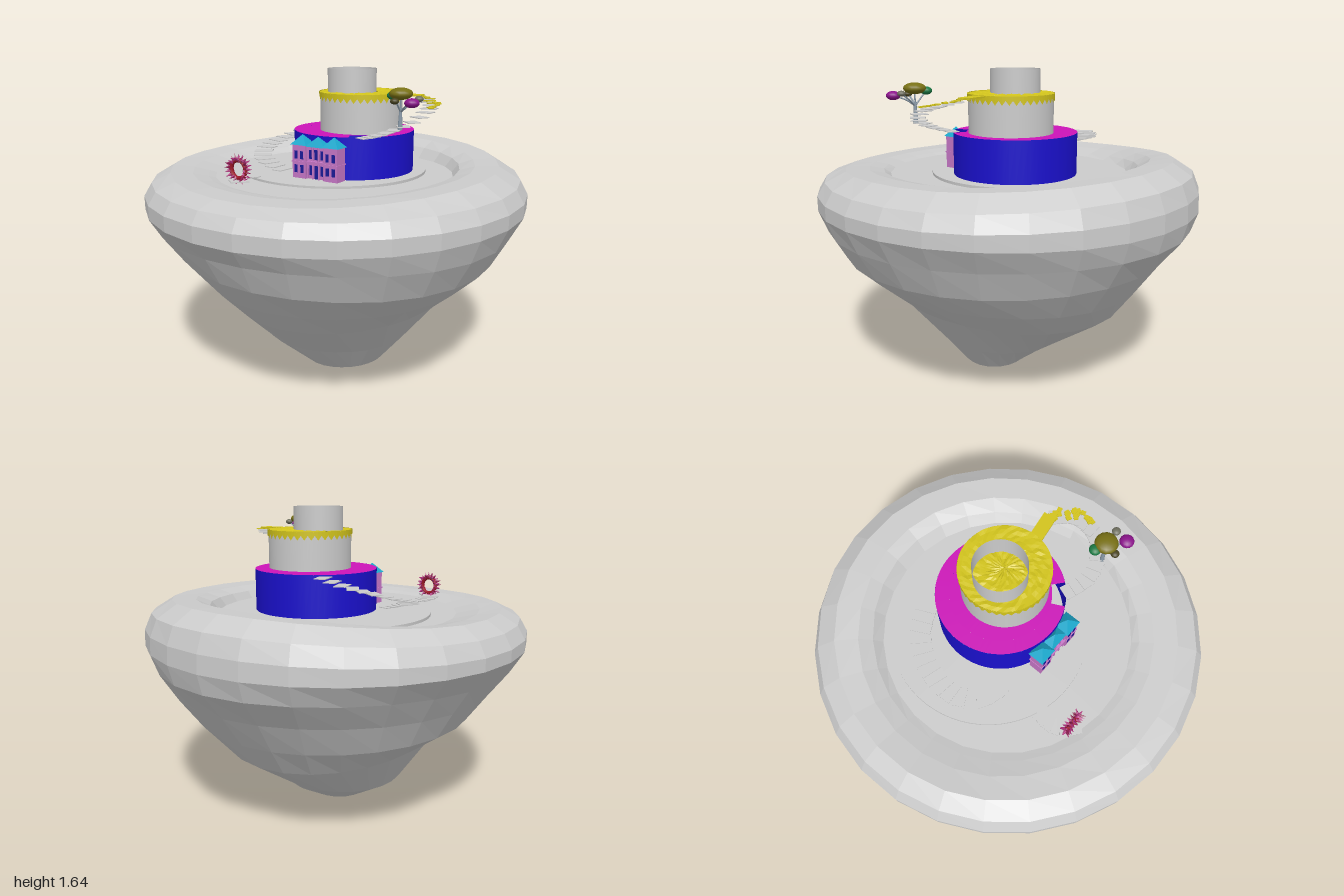
import * as THREE from 'three';

const mat = (color, extra = {}) => new THREE.MeshStandardMaterial({ color, ...extra });
const both = { side: THREE.DoubleSide };
const GREY = mat(0xcccccc), GREY2 = mat(0xcccccc, both);
const ROCK = mat(0xcccccc, { flatShading: true });
const BLUE = mat(0x1a10cc, both), MAGENTA = mat(0xcc14b8, both);
const YELLOW = mat(0xd2c41c, { ...both, flatShading: true });
const PINK = mat(0xc878c8), CYAN = mat(0x1ca8cc, { flatShading: true }), DARK = mat(0x1a1a9a);
const DEG = Math.PI / 180;

let seed = 7;
const rand = () => (seed = (seed * 16807) % 2147483647) / 2147483647;

function add(parent, name, geo, material, x = 0, y = 0, z = 0) {
  const m = new THREE.Mesh(geo, material);
  m.name = name;
  m.position.set(x, y, z);
  parent.add(m);
  return m;
}

// Rock rows from tip to floor: heights and radii toward +x, +z, -x, -z
const ROWS = [
  [[0, 0, 0, 0], [0, 0, 0, 0]],
  [[0.07, 0.06, 0.07, 0.07], [0.25, 0.22, 0.19, 0.14]],
  [[0.22, 0.22, 0.2, 0.2], [0.4, 0.37, 0.38, 0.34]],
  [[0.45, 0.43, 0.45, 0.4], [0.59, 0.6, 0.55, 0.64]],
  [[0.58, 0.57, 0.58, 0.55], [0.75, 0.73, 0.73, 0.75]],
  [[0.69, 0.72, 0.72, 0.72], [0.865, 0.87, 0.82, 0.86]],
  [[0.84, 0.86, 0.85, 0.86], [0.94, 0.95, 0.92, 0.96]],
  [[0.96, 0.95, 0.96, 0.96], [1, 1, 1, 1]],
  [[1.03, 1.03, 1.02, 1.05], [1, 1, 1, 0.995]],
  [[1.1, 1.09, 1.09, 1.14], [0.96, 0.96, 0.96, 0.96]],
  [[1.165, 1.12, 1.145, 1.205], [0.85, 0.86, 0.87, 0.86]],
  [[1.16, 1.125, 1.13, 1.2], [0.73, 0.74, 0.76, 0.74]],
  [[1.14, 1.115, 1.11, 1.16], [0.65, 0.67, 0.68, 0.68]],
  [[1.1, 1.105, 1.1, 1.1], [0.62, 0.63, 0.64, 0.63]],
  [[1.1, 1.1, 1.1, 1.1], [0, 0, 0, 0]],
];

function rockGeometry(sides = 28) {
  const pos = [], idx = [];
  const blend = (v, a) => {
    const q = (a / (2 * Math.PI)) * 4, i = Math.floor(q) % 4, f = q - Math.floor(q);
    return THREE.MathUtils.lerp(v[i], v[(i + 1) % 4], f * f * (3 - 2 * f));
  };
  ROWS.forEach(([ys, rs], j) => {
    const shift = 0.06 * Math.max(0, 1 - j / 2);
    for (let i = 0; i < sides; i++) {
      const a = (i / sides) * 2 * Math.PI;
      const wobble = j > 1 && j < 7 ? 1 + 0.015 * Math.sin(3 * a + j) : 1;
      const r = blend(rs, a) * wobble;
      pos.push(r * Math.cos(a) + shift, blend(ys, a), r * Math.sin(a));
      if (j) {
        const n = (i + 1) % sides, d = (j - 1) * sides, u = j * sides;
        idx.push(d + i, u + i, u + n, d + i, u + n, d + n);
      }
    }
  });
  const g = new THREE.BufferGeometry();
  g.setAttribute('position', new THREE.Float32BufferAttribute(pos, 3));
  g.setIndex(idx);
  g.computeVertexNormals();
  return g;
}

// Thin overlapping slabs along a curve
function steps(parent, name, pts, n, width, depth, material) {
  const curve = new THREE.CatmullRomCurve3(pts.map(p => new THREE.Vector3(...p)));
  const group = new THREE.Group();
  group.name = name;
  for (let i = 0; i < n; i++) {
    const t = i / (n - 1), p = curve.getPointAt(t), d = curve.getTangentAt(t);
    add(group, 'step', new THREE.BoxGeometry(width, 0.004, depth), material, p.x, p.y, p.z)
      .rotation.y = Math.atan2(d.x, d.z) + (rand() - 0.5) * 0.2;
  }
  parent.add(group);
}

// Zigzag hanging edge
function fringeGeometry(r, top, mid, low, teeth) {
  const pos = [], idx = [];
  for (let i = 0; i <= teeth * 2; i++) {
    const a = (i / (teeth * 2)) * 2 * Math.PI, x = r * Math.cos(a), z = r * Math.sin(a);
    pos.push(x, top, z, x, i % 2 ? low : mid, z);
    if (i) idx.push(2 * i - 2, 2 * i, 2 * i - 1, 2 * i, 2 * i + 1, 2 * i - 1);
  }
  const g = new THREE.BufferGeometry();
  g.setAttribute('position', new THREE.Float32BufferAttribute(pos, 3));
  g.setIndex(idx);
  g.computeVertexNormals();
  return g;
}

function buildHouse() {
  const h = new THREE.Group();
  h.name = 'house';
  const roof = (x, w, d, y, tall) => {
    const m = add(h, 'roof', new THREE.ConeGeometry(Math.SQRT1_2, 1, 4).rotateY(Math.PI / 4), CYAN, x, y + tall / 2, 0);
    m.scale.set(w, tall, d);
  };
  for (const s of [-1, 1]) {
    add(h, 'wing', new THREE.BoxGeometry(0.08, 0.17, 0.07), PINK, s * 0.095, 0.085, 0);
    roof(s * 0.095, 0.096, 0.085, 0.17, 0.05);
    for (const y of [0.05, 0.12]) for (const dx of [-0.018, 0.018])
      add(h, 'window', new THREE.BoxGeometry(0.018, 0.04, 0.004), DARK, s * 0.095 + dx, y, 0.035);
    add(h, 'ledge', new THREE.BoxGeometry(0.086, 0.006, 0.078), PINK, s * 0.095, 0.085, 0);
    for (const x of [0.018, 0.05])
      add(h, 'column', new THREE.CylinderGeometry(0.004, 0.004, 0.165, 8), PINK, s * x, 0.083, 0.025);
    add(h, 'upperWindow', new THREE.BoxGeometry(0.02, 0.045, 0.004), DARK, s * 0.034, 0.125, 0.015);
    add(h, 'lowerWindow', new THREE.BoxGeometry(0.02, 0.05, 0.004), DARK, s * 0.034, 0.045, 0.015);
  }
  add(h, 'hall', new THREE.BoxGeometry(0.12, 0.165, 0.04), PINK, 0, 0.083, -0.005);
  add(h, 'balcony', new THREE.BoxGeometry(0.112, 0.012, 0.03), PINK, 0, 0.087, 0.02);
  add(h, 'door', new THREE.BoxGeometry(0.026, 0.07, 0.004), DARK, 0, 0.035, 0.015);
  add(h, 'middleWindow', new THREE.BoxGeometry(0.026, 0.05, 0.004), DARK, 0, 0.125, 0.015);
  roof(0, 0.12, 0.065, 0.165, 0.05);
  h.position.set(0.022, 1.112, 0.25);
  h.rotation.y = -0.14;
  return h;
}

function buildTree() {
  const t = new THREE.Group();
  t.name = 'tree';
  const bark = mat(0x8a9aa8);
  const limb = (pts, r) => add(t, 'branch', new THREE.TubeGeometry(
    new THREE.CatmullRomCurve3(pts.map(p => new THREE.Vector3(...p))), 8, r, 6), bark);
  add(t, 'trunk', new THREE.CylinderGeometry(0.006, 0.013, 0.1, 8), bark, 0, 0.05, 0);
  // Crown clumps: position, radius, height, colour
  const crowns = [
    [0, 0.165, 0, 0.056, 0.028, 0x787014], [-0.05, 0.152, -0.03, 0.029, 0.02, 0x1c7a44],
    [0.078, 0.132, 0.07, 0.035, 0.022, 0x8c148c], [0.09, 0.145, 0.005, 0.021, 0.014, 0x707060],
    [-0.01, 0.135, 0.055, 0.021, 0.014, 0x4a4420],
  ];
  for (const [x, y, z, r, h, c] of crowns) {
    limb([[0, 0.08, 0], [x * 0.4, 0.11, z * 0.4], [x, y, z]], 0.004);
    add(t, 'crown', new THREE.SphereGeometry(1, 14, 10), mat(c), x, y, z).scale.set(r, h, r);
  }
  t.position.set(0.45, 1.39, 0.25);
  return t;
}

function buildWreath() {
  const w = new THREE.Group();
  w.name = 'wreath';
  const tones = [0xa83078, 0xc05090, 0x8c1c50].map(c => mat(c, { flatShading: true }));
  add(w, 'ring', new THREE.TorusGeometry(0.045, 0.011, 6, 20), mat(0xa01828));
  for (let i = 0; i < 54; i++) {
    const a = (i / 54) * 2 * Math.PI, k = i % 3, out = new THREE.Vector3(Math.cos(a), Math.sin(a), (k - 1) * 1.6).normalize();
    const r = 0.045 + 0.012 * rand();
    const m = add(w, 'petal', new THREE.ConeGeometry(0.009, 0.03, 4), tones[i % 7 % 3],
      r * Math.cos(a) + out.x * 0.009, r * Math.sin(a) + out.y * 0.009, out.z * 0.02);
    m.quaternion.setFromUnitVectors(new THREE.Vector3(0, 1, 0), out);
  }
  w.position.set(-0.268, 1.19, 0.53);
  w.rotation.y = -0.15;
  return w;
}

export function createModel() {
  const g = new THREE.Group();
  g.name = 'floatingIsland';
  add(g, 'rock', rockGeometry(), ROCK);
  add(g, 'plaza', new THREE.CylinderGeometry(0.5, 0.5, 0.016, 64), GREY, -0.05, 1.106, -0.08);

  // Lower drum with a notched terrace
  const cx = 0.067, cz = -0.085;
  add(g, 'lowerDrum', new THREE.CylinderGeometry(0.318, 0.318, 0.216, 64, 1, true), BLUE, cx, 1.22, cz);
  const flat = geo => geo.rotateX(-Math.PI / 2);
  add(g, 'terraceInner', flat(new THREE.RingGeometry(0.1, 0.25, 64)), MAGENTA, cx, 1.328, cz);
  add(g, 'terraceOuter', flat(new THREE.RingGeometry(0.25, 0.318, 64, 1, -48 * DEG, 337 * DEG)), MAGENTA, cx, 1.328, cz);

  // Middle drum with a rough yellow deck and hanging edge
  add(g, 'middleDrum', new THREE.CylinderGeometry(0.216, 0.216, 0.195, 64), GREY, 0.107, 1.423, cz);
  const deck = flat(new THREE.RingGeometry(0.001, 0.222, 48, 10));
  const p = deck.attributes.position;
  for (let i = 0; i < p.count; i++) p.setY(i, rand() * 0.007);
  add(g, 'deck', deck, YELLOW, 0.107, 1.521, cz);
  add(g, 'deckFringe', fringeGeometry(0.221, 1.526, 1.505, 1.482, 40), YELLOW, 0.107, 0, cz);
  add(g, 'upperDrum', new THREE.CylinderGeometry(0.128, 0.128, 0.12, 48, 1, true), GREY2, 0.057, 1.582, -0.077);

  // Yellow bridge breaking into fragments
  const bridge = add(g, 'bridge', new THREE.BoxGeometry(0.14, 0.008, 0.065, 10, 1, 5), YELLOW, 0.385, 1.52, -0.05);
  bridge.rotation.y = 0.03;
  for (let i = 0; i < 26; i++) {
    const t = rand(), a = -75 * DEG + t * 85 * DEG, r = 0.125 + rand() * 0.05;
    add(g, 'bridgeFragment', new THREE.BoxGeometry(0.025, 0.005, 0.022), YELLOW,
      0.4 + r * Math.cos(a), 1.52 - t * 0.04, 0.1 + r * Math.sin(a)).rotation.y = rand() * 3;
  }

  // Stairways
  steps(g, 'upperStairs', [[0.47, 1.505, -0.03], [0.525, 1.485, 0.04], [0.53, 1.46, 0.13], [0.49, 1.42, 0.2],
    [0.42, 1.385, 0.235], [0.34, 1.355, 0.235], [0.25, 1.328, 0.19]], 13, 0.075, 0.06, GREY);
  steps(g, 'lowerStairs', [[-0.18, 1.32, -0.345], [-0.27, 1.29, -0.32], [-0.36, 1.26, -0.26], [-0.43, 1.225, -0.15],
    [-0.45, 1.195, -0.03], [-0.41, 1.165, 0.07], [-0.33, 1.14, 0.12], [-0.25, 1.12, 0.14]], 16, 0.1, 0.06, GREY);
  steps(g, 'wreathStairs', [[-0.29, 1.125, 0.38], [-0.305, 1.13, 0.44], [-0.295, 1.135, 0.5], [-0.25, 1.135, 0.55]],
    7, 0.09, 0.04, GREY);

  g.add(buildHouse(), buildTree(), buildWreath());
  return g;
}
